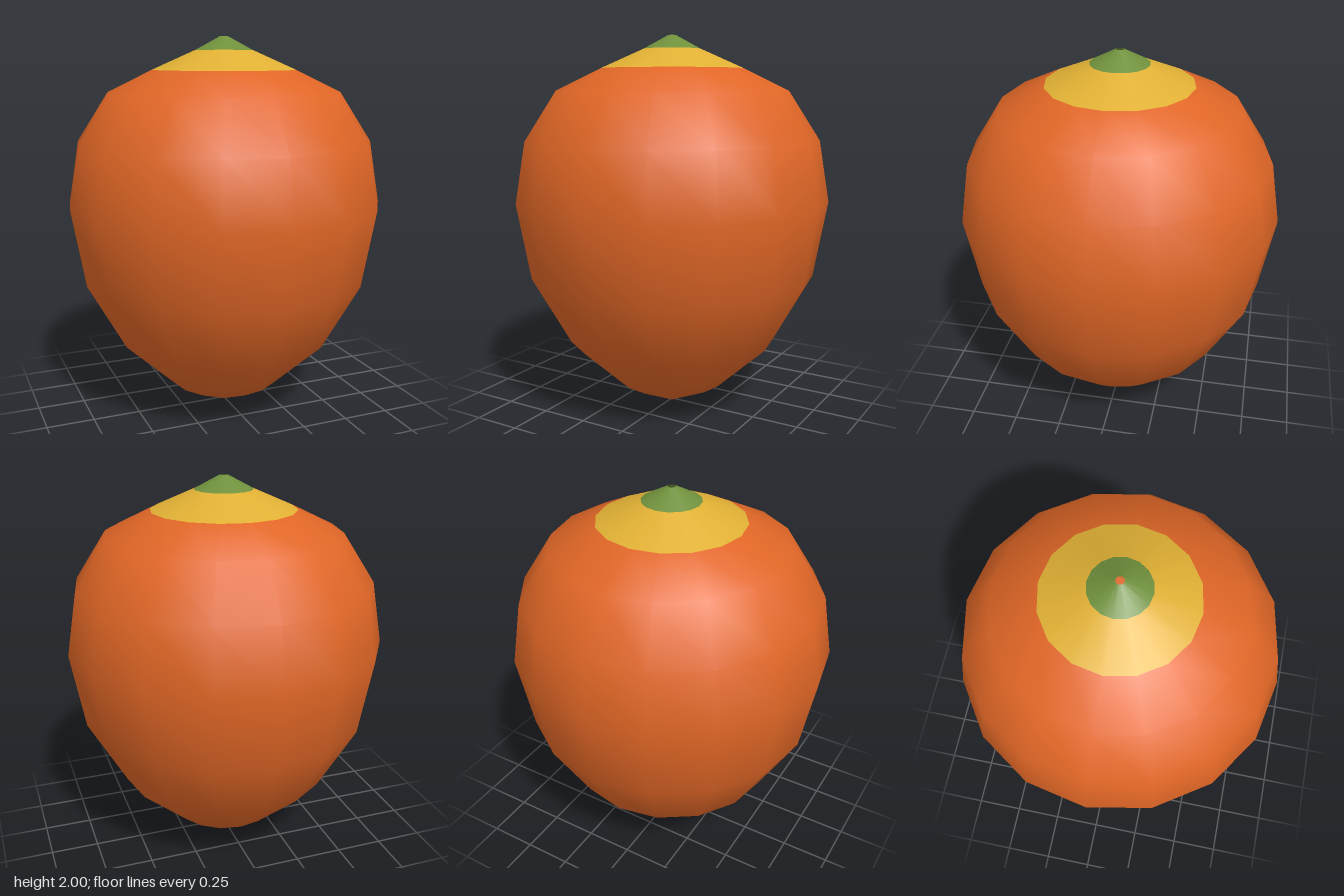
import * as THREE from 'three';

const SIDES = 16;

function material(name, color) {
  const m = new THREE.MeshStandardMaterial({ color, side: THREE.DoubleSide });
  m.name = name;
  return m;
}

// Revolves a bottom-to-top profile of [radius, height] pairs
function ring(name, profile, mat) {
  const points = profile.map(([r, y]) => new THREE.Vector2(r, y));
  const mesh = new THREE.Mesh(new THREE.LatheGeometry(points, SIDES), mat);
  mesh.name = name;
  return mesh;
}

export function createModel() {
  const group = new THREE.Group();
  group.name = 'fruit';

  // Main body, tapering to a small open tip at the bottom
  group.add(ring('body', [
    [0.02, 0], [0.29, 0.13], [0.56, 0.38], [0.76, 0.74], [0.83, 1.14],
    [0.775, 1.46], [0.61, 1.715], [0.375, 1.83],
  ], material('orange', 0xe06626)));

  // Pale shoulder around the stem
  group.add(ring('shoulder', [[0.375, 1.83], [0.15, 1.93]], material('yellow', 0xe0b034)));

  // Stem cap with a tiny open tip
  group.add(ring('stemCap', [[0.15, 1.93], [0.02, 2]], material('green', 0x6f903c)));

  return group;
}
